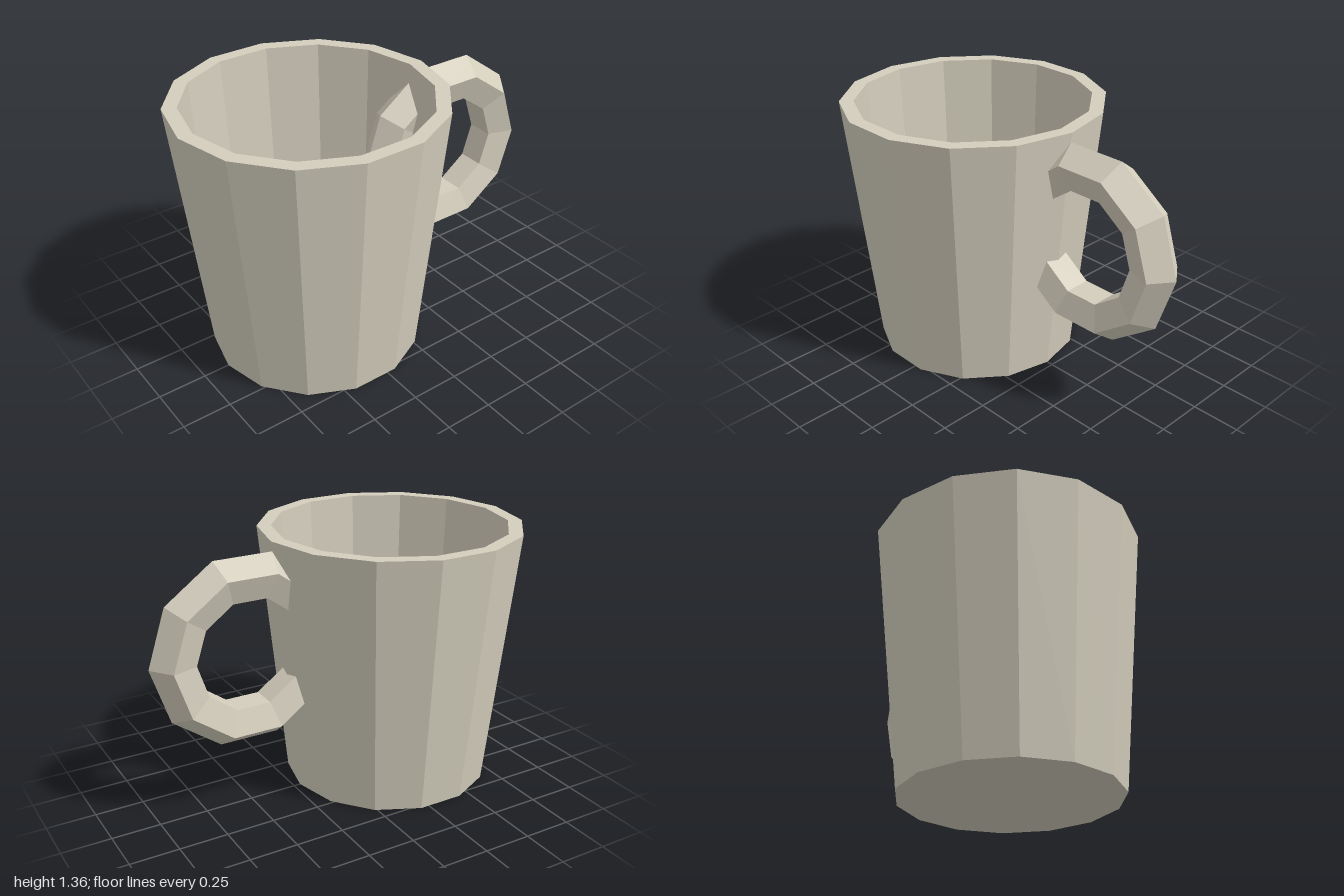
import * as THREE from 'three';

const SIDES = 14;
const HEIGHT = 1.355;

// Splits shared vertices so every face is shaded flat
function faceted(geometry) {
  const flat = geometry.toNonIndexed();
  flat.computeVertexNormals();
  return flat;
}

export function createModel() {
  const group = new THREE.Group();
  group.name = 'mug';

  const ceramic = new THREE.MeshStandardMaterial({ color: 0xd3cdbc });
  ceramic.name = 'warm grey ceramic';

  // Tapered cup: underside, outer wall, rim, inner wall, floor
  const profile = [
    [0, 0], [0.54, 0], [0.675, HEIGHT], [0.603, HEIGHT], [0.556, 0.3], [0, 0.3],
  ].map(([r, y]) => new THREE.Vector2(r, y));
  const cup = new THREE.Mesh(
    faceted(new THREE.LatheGeometry(profile, SIDES, Math.PI / 2)), ceramic);
  cup.name = 'cup';
  cup.position.x = -0.325;
  group.add(cup);

  // Full ring handle, its near side passing through the cup wall
  const handle = new THREE.Mesh(
    faceted(new THREE.TorusGeometry(0.382, 0.118, 5, 10)), ceramic);
  handle.name = 'handle';
  handle.position.set(0.5, 0.83, 0);
  group.add(handle);

  return group;
}
